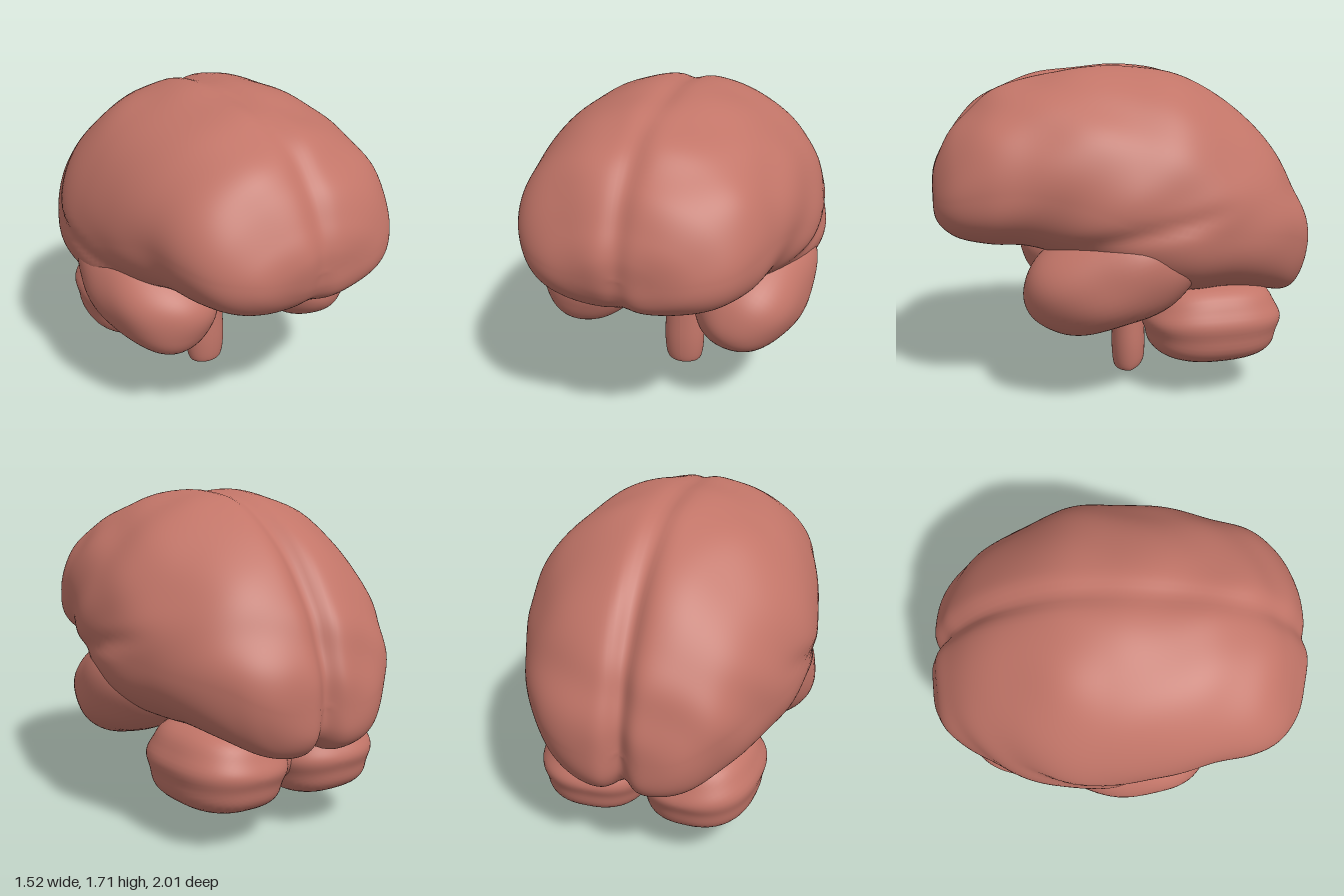
import * as THREE from 'three';
import { mergeVertices } from 'three/addons/utils/BufferGeometryUtils.js';

const tissue = new THREE.MeshStandardMaterial({ color: 0xc27568 });
tissue.name = 'pink tissue';

// Soft folds covering the surface
function folds(p) {
  const a = Math.sin(p.x * 11 + 2 * Math.sin(p.z * 5 + 1)) * Math.sin(p.y * 10 + 2 * Math.sin(p.x * 4));
  const b = Math.sin(p.z * 13 + 2.2 * Math.sin(p.y * 6)) * Math.cos(p.x * 7 - p.y * 5);
  return 0.5 * (a + b);
}

// Moves every vertex of a sphere by a rule, then welds it for smooth normals
function shapedSphere(w, h, rule) {
  const geo = new THREE.SphereGeometry(1, w, h).rotateX(Math.PI / 2);
  const pos = geo.attributes.position, uv = geo.attributes.uv;
  const p = new THREE.Vector3();
  for (let i = 0; i < pos.count; i++) {
    p.fromBufferAttribute(pos, i);
    const row = Math.round((1 - uv.getY(i)) * h) / h;
    rule(p, row);
    pos.setXYZ(i, p.x, p.y, p.z);
  }
  geo.deleteAttribute('uv');
  geo.deleteAttribute('normal');
  const welded = mergeVertices(geo, 1e-5);
  welded.computeVertexNormals();
  return welded;
}

function add(group, name, geo) {
  const mesh = new THREE.Mesh(geo, tissue);
  mesh.name = name;
  group.add(mesh);
  return mesh;
}

// Cross-sections from front to back: z, top, bottom, widest height, half width
const SECTIONS = [
  [1.0, 1.06, 1.06, 1.06, 0],
  [0.99, 1.17, 0.97, 1.06, 0.22],
  [0.95, 1.28, 0.9, 1.08, 0.38],
  [0.86, 1.44, 0.84, 1.1, 0.51],
  [0.7, 1.58, 0.81, 1.14, 0.6],
  [0.5, 1.66, 0.8, 1.15, 0.65],
  [0.25, 1.71, 0.72, 1.1, 0.715],
  [0, 1.72, 0.6, 1.02, 0.755],
  [-0.25, 1.69, 0.55, 0.98, 0.75],
  [-0.5, 1.57, 0.55, 0.93, 0.67],
  [-0.7, 1.42, 0.52, 0.9, 0.57],
  [-0.85, 1.22, 0.49, 0.86, 0.47],
  [-0.94, 1.05, 0.52, 0.8, 0.37],
  [-0.99, 0.89, 0.6, 0.75, 0.23],
  [-1.0, 0.73, 0.73, 0.73, 0],
];

function cerebrumGeometry() {
  const curve = (f) => new THREE.CatmullRomCurve3(
    SECTIONS.map((s) => new THREE.Vector3(...f(s))), false, 'catmullrom', 0.5);
  const outline = curve((s) => [s[0], s[1], s[2]]);
  const widths = curve((s) => [s[3], s[4], 0]);
  const centre = new THREE.Vector3(0, 1, 0);
  return shapedSphere(144, 112, (p, row) => {
    const angle = Math.atan2(p.y, p.x);
    const o = outline.getPoint(row), w = widths.getPoint(row);
    const c = Math.cos(angle), s = Math.sin(angle);
    const e = s >= 0 ? 1 : 2 / 2.6;
    const end = row === 0 || row === 1 ? 0 : 1;
    p.set(
      end * w.y * Math.sign(c) * Math.abs(c) ** e,
      w.x + end * (s >= 0 ? (o.y - w.x) * s : -(w.x - o.z) * Math.abs(s) ** e),
      o.x);
    // Groove between the hemispheres, deeper towards the back
    const back = THREE.MathUtils.smoothstep(-p.z, -0.2, 0.8);
    const groove = (0.022 + 0.04 * back) * Math.exp(-((p.x / 0.06) ** 2));
    // Slanting groove along each side
    const line = p.y - (0.95 - 0.22 * p.z);
    const side = 0.025 * Math.exp(-((line / 0.05) ** 2)) * Math.exp(-(((p.z + 0.05) / 0.35) ** 4))
      * THREE.MathUtils.smoothstep(Math.abs(p.x), 0.4, 0.6);
    const k = 1 + 0.014 * folds(p) - groove - side;
    p.sub(centre).multiplyScalar(k).add(centre);
  });
}

// Rounded lobe; power above 2 makes it fuller, bump adds surface relief
function lobeGeometry(rx, ry, rz, power, bump) {
  return shapedSphere(56, 40, (p) => {
    const n = (Math.abs(p.x) ** power + Math.abs(p.y) ** power + Math.abs(p.z) ** power) ** (-1 / power);
    const k = n * (1 + bump(p));
    p.set(p.x * rx * k, p.y * ry * k, p.z * rz * k);
  });
}

export function createModel() {
  const model = new THREE.Group();
  model.name = 'brain';

  add(model, 'cerebrum', cerebrumGeometry());

  for (const s of [1, -1]) {
    const side = s > 0 ? 'left' : 'right';

    // Lobe low on the side, dipping towards the front
    const temporal = add(model, side + 'TemporalLobe',
      lobeGeometry(0.295, 0.265, 0.46, 2.2, (p) => 0.025 * Math.sin(p.z * 6 + s) * Math.cos(p.y * 4 + p.x * 2)));
    temporal.position.set(s * 0.45, s > 0 ? 0.7 : 0.74, 0.1);
    temporal.rotation.set(0.35, -s * 0.12, 0);

    // Half of the small brain, with level ridges
    const cerebellum = add(model, side + 'Cerebellum',
      lobeGeometry(0.3, 0.225, 0.36, 2.5, (p) => 0.025 * Math.cos(p.y * 9 - 0.6) * (1 - p.y * p.y)));
    cerebellum.position.set(s * 0.28, 0.39, -0.45);
    cerebellum.rotation.set(0, s * 0.1, s * 0.06);
  }

  // Bridge between the two cerebellum halves
  add(model, 'vermis', lobeGeometry(0.16, 0.18, 0.27, 2, () => 0)).position.set(0, 0.41, -0.42);

  // Bulge above the stem
  add(model, 'pons', lobeGeometry(0.17, 0.13, 0.15, 2.2, () => 0)).position.set(0, 0.55, -0.05);

  // Stem running up into the cerebrum
  const profile = new THREE.SplineCurve([
    [0.001, 0.005], [0.075, 0.01], [0.105, 0.04], [0.117, 0.16], [0.11, 0.32], [0.105, 0.45],
    [0.12, 0.55], [0.1, 0.65], [0.085, 0.74], [0.1, 0.85],
  ].map(([x, y]) => new THREE.Vector2(x, y))).getPoints(36);
  const stemGeo = new THREE.LatheGeometry(profile, 32);
  const pos = stemGeo.attributes.position;
  for (let i = 0; i < pos.count; i++) {
    const y = pos.getY(i), z = pos.getZ(i);
    // Slanted foot and a slight forward lean at the top
    const foot = Math.max(0, 0.08 - y) * Math.max(0, -z) * 5;
    pos.setY(i, y + foot);
    pos.setZ(i, z * 0.8 - 0.05 + Math.max(0, y - 0.45) * 0.2);
  }
  stemGeo.computeVertexNormals();
  add(model, 'brainStem', stemGeo);

  return model;
}
